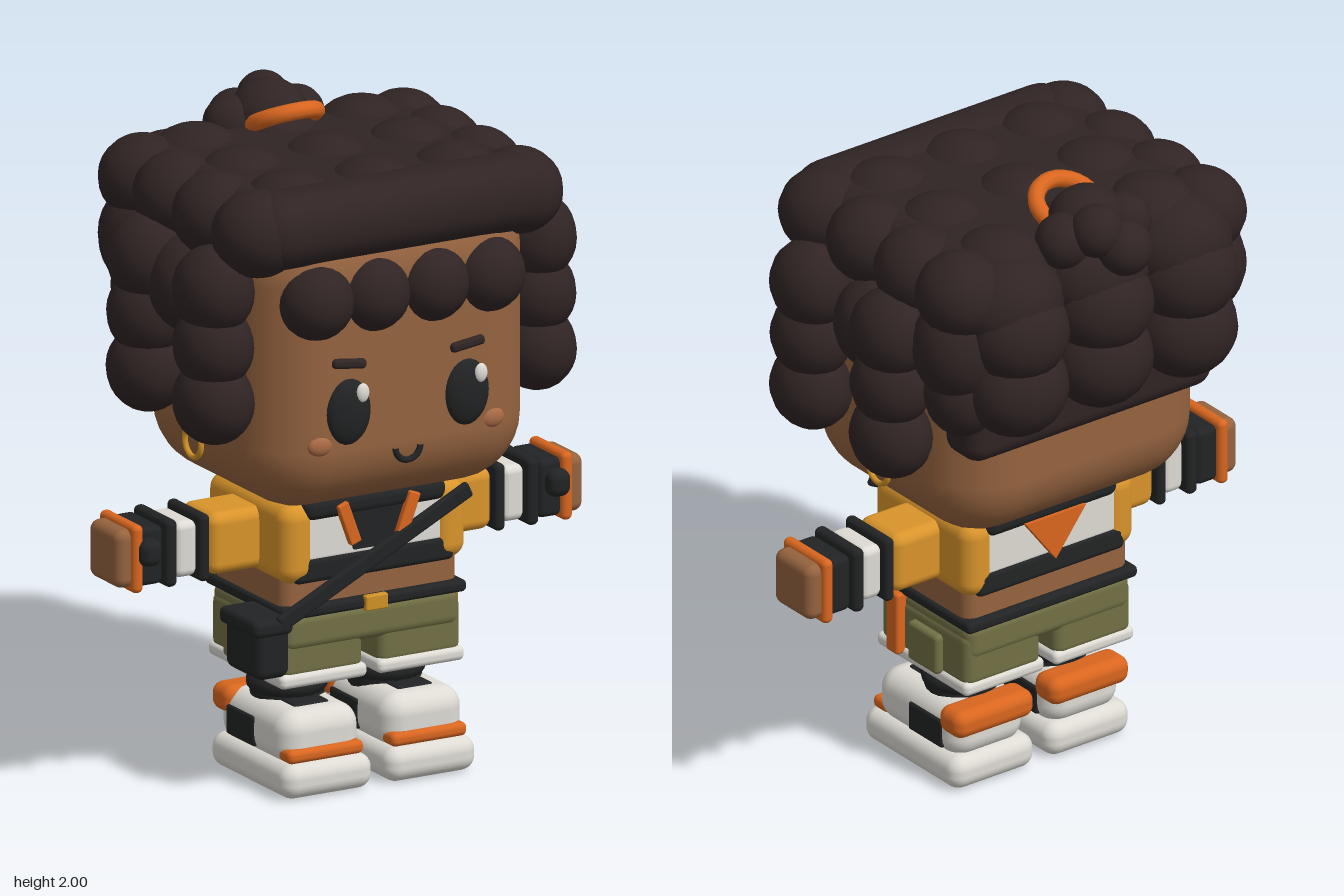
import * as THREE from 'three';
import { RoundedBoxGeometry } from 'three/addons/geometries/RoundedBoxGeometry.js';

const COLORS = {
  hair: 0x302424, skin: 0x95633f, blush: 0xa86a45, black: 0x222324, white: 0xdedbd4,
  yellow: 0xd9942b, orange: 0xd9661f, olive: 0x727045, gold: 0xcf9126,
};

export function createModel() {
  const model = new THREE.Group();
  model.name = 'character';
  const mats = {};
  for (const [name, color] of Object.entries(COLORS)) {
    mats[name] = new THREE.MeshStandardMaterial({ color });
    mats[name].name = name;
  }
  const group = (name) => {
    const g = new THREE.Group();
    g.name = name;
    model.add(g);
    return g;
  };
  const add = (parent, name, mat, geo, x, y, z) => {
    const m = new THREE.Mesh(geo, mats[mat]);
    m.name = name;
    m.position.set(x, y, z);
    parent.add(m);
    return m;
  };
  // Rounded box given by its ranges on x, y and z
  const box = (parent, name, mat, [x0, x1], [y0, y1], [z0, z1], r = 0.02) => {
    const w = Math.abs(x1 - x0), h = y1 - y0, d = z1 - z0;
    const radius = Math.min(r, w / 2.01, h / 2.01, d / 2.01);
    return add(parent, name, mat, new RoundedBoxGeometry(w, h, d, 4, radius),
      (x0 + x1) / 2, (y0 + y1) / 2, (z0 + z1) / 2);
  };
  const ball = (parent, name, mat, x, y, z, rx, ry = rx, rz = rx) => {
    const m = add(parent, name, mat, new THREE.SphereGeometry(1, 18, 14), x, y, z);
    m.scale.set(rx, ry, rz);
    return m;
  };
  const SIDES = [1, -1];

  // Head and face
  const head = group('head');
  box(head, 'skull', 'skin', [-0.47, 0.47], [0.9, 1.82], [-0.35, 0.48], 0.21);
  for (const s of SIDES) {
    ball(head, 'eye', 'black', s * 0.2, 1.225, 0.475, 0.075, 0.102, 0.033);
    ball(head, 'eyeHighlight', 'white', s * 0.2 + 0.036, 1.283, 0.5, 0.021, 0.029, 0.012);
    const brow = box(head, 'eyebrow', 'hair', [s * 0.2 - 0.057, s * 0.2 + 0.057], [1.358, 1.388], [0.465, 0.495], 0.012);
    brow.rotation.z = s * 0.13;
    ball(head, 'cheek', 'blush', s * 0.29, 1.13, 0.468, 0.042, 0.031, 0.02);
    ball(head, 'ear', 'skin', s * 0.465, 1.2, 0.05, 0.035, 0.09, 0.06);
    const ring = add(head, 'earring', 'gold', new THREE.TorusGeometry(0.047, 0.009, 8, 24), s * 0.477, 1.062, 0.05);
    ring.rotation.y = Math.PI / 2;
  }
  const mouth = add(head, 'mouth', 'black', new THREE.TorusGeometry(0.042, 0.01, 8, 16, Math.PI), 0, 1.09, 0.48);
  mouth.rotation.z = Math.PI;

  // Hair: cap, back panel, front roll and clusters of curls
  const hair = group('hair');
  const curl = (x, y, z, rx, ry, rz) => ball(hair, 'curl', 'hair', x, y, z, rx, ry, rz);
  box(hair, 'hairCap', 'hair', [-0.49, 0.49], [1.66, 1.88], [-0.38, 0.46], 0.1);
  box(hair, 'hairBack', 'hair', [-0.45, 0.45], [1.22, 1.8], [-0.375, -0.2], 0.06);
  box(hair, 'frontRoll', 'hair', [-0.5, 0.5], [1.67, 1.9], [0.27, 0.51], 0.11);
  for (const x of [-0.29, -0.1, 0.1, 0.29]) curl(x, 1.565, 0.44, 0.115);
  for (const x of [-0.28, 0, 0.28])
    for (const z of [-0.27, 0, 0.27]) curl(x, 1.8, z, 0.15, 0.12, 0.15);
  for (const x of [-0.31, 0, 0.31]) {
    curl(x, 1.73, -0.36, 0.17, 0.15, 0.15);
    curl(x, 1.65, -0.4, 0.16, 0.15, 0.15);
    curl(x, 1.47, -0.4, 0.16, 0.15, 0.145);
  }
  for (const s of SIDES) {
    for (const z of [0.36, 0.13, -0.1, -0.3]) curl(s * 0.44, 1.775, z, 0.135, 0.13, 0.14);
    for (const z of [0.285, -0.1]) {
      curl(s * 0.545, 1.6, z, 0.118, 0.135, 0.135);
      curl(s * 0.545, 1.43, z, 0.118, 0.13, 0.13);
      curl(s * 0.545, 1.26, z, 0.118, 0.13, 0.135);
    }
    curl(s * 0.49, 1.55, 0.05, 0.12, 0.145, 0.13);
    curl(s * 0.45, 1.6, -0.29, 0.13, 0.16, 0.14);
    curl(s * 0.43, 1.44, -0.29, 0.11, 0.13, 0.12);
  }

  // Bun with its hair tie
  const bun = group('bun');
  const bunCurls = [[0, 1.88, -0.33, 0.12], [0.11, 1.87, -0.36, 0.085], [-0.11, 1.87, -0.36, 0.085],
    [0.04, 1.91, -0.43, 0.08], [-0.03, 1.85, -0.47, 0.085]];
  for (const [x, y, z, r] of bunCurls) ball(bun, 'bunCurl', 'hair', x, y, z, r);
  const tie = add(bun, 'hairTie', 'orange', new THREE.TorusGeometry(0.095, 0.026, 10, 28), 0, 1.905, -0.235);
  tie.rotation.x = 1.1;

  // Torso: belly, striped top, open jacket and collar
  const torso = group('torso');
  box(torso, 'belly', 'skin', [-0.3, 0.3], [0.53, 0.7], [-0.145, 0.265], 0.04);
  box(torso, 'topHem', 'black', [-0.27, 0.27], [0.65, 0.73], [-0.165, 0.295], 0.02);
  box(torso, 'top', 'white', [-0.25, 0.25], [0.71, 0.87], [-0.16, 0.29], 0.02);
  box(torso, 'collar', 'black', [-0.24, 0.24], [0.84, 0.91], [-0.175, 0.305], 0.03);
  const bib = new THREE.Shape([[-0.11, 0.87], [-0.075, 0.735], [0.075, 0.735], [0.11, 0.87]].map(p => new THREE.Vector2(...p)));
  add(torso, 'neckPanel', 'black', new THREE.ExtrudeGeometry(bib, { depth: 0.009, bevelEnabled: false }), 0, 0, 0.289);
  const tri = new THREE.Shape([[-0.11, 0.855], [0, 0.71], [0.11, 0.855]].map(p => new THREE.Vector2(...p)));
  add(torso, 'backTriangle', 'orange', new THREE.ExtrudeGeometry(tri, { depth: 0.022, bevelEnabled: false }), 0, 0, -0.182);
  for (const s of SIDES) {
    box(torso, 'jacketSide', 'yellow', [s * 0.2, s * 0.315], [0.65, 0.895], [-0.165, 0.3], 0.05);
    const cord = box(torso, 'drawstring', 'orange', [s * 0.1 - 0.019, s * 0.1 + 0.019], [0.755, 0.89], [0.293, 0.318], 0.006);
    cord.rotation.z = -s * 0.35;
  }

  // Arms, reaching out along x: sleeve, cuffs, glove and hand
  for (const s of SIDES) {
    const arm = group(s > 0 ? 'leftArm' : 'rightArm');
    const part = (name, mat, x0, x1, half, r) => box(arm, name, mat, [s * x0, s * x1],
      [0.768 - half, 0.768 + half], [0.062 - half, 0.062 + half], r);
    part('sleeve', 'yellow', 0.27, 0.48, 0.095, 0.035);
    part('forearm', 'black', 0.44, 0.66, 0.07, 0.02);
    part('innerCuff', 'black', 0.482, 0.518, 0.103, 0.017);
    part('whiteCuff', 'white', 0.515, 0.592, 0.086, 0.025);
    part('outerCuff', 'black', 0.592, 0.632, 0.103, 0.018);
    part('glove', 'black', 0.635, 0.715, 0.09, 0.02);
    part('wristBand', 'orange', 0.708, 0.745, 0.104, 0.017);
    part('hand', 'skin', 0.72, 0.792, 0.089, 0.03);
    box(arm, 'thumb', 'black', [s * 0.655, s * 0.728], [0.745, 0.828], [0.11, 0.195], 0.03);
  }

  // Shorts, belt and pockets
  const shorts = group('shorts');
  box(shorts, 'hips', 'olive', [-0.3, 0.3], [0.44, 0.56], [-0.155, 0.28], 0.035);
  box(shorts, 'belt', 'black', [-0.312, 0.312], [0.545, 0.582], [-0.17, 0.292], 0.014);
  box(shorts, 'buckle', 'gold', [-0.038, 0.038], [0.54, 0.587], [0.28, 0.304], 0.006);
  for (const s of SIDES) {
    box(shorts, 'shortsLeg', 'olive', [s * 0.025, s * 0.305], [0.355, 0.53], [-0.15, 0.272], 0.03);
    box(shorts, 'hem', 'white', [s * 0.017, s * 0.312], [0.332, 0.376], [-0.155, 0.282], 0.018);
    box(shorts, 'pocket', 'olive', [s * 0.29, s * 0.33], [0.363, 0.49], [-0.035, 0.108], 0.014);
  }
  box(shorts, 'sideStrap', 'orange', [0.295, 0.335], [0.355, 0.555], [0.148, 0.204], 0.01);

  // Legs and shoes
  for (const s of SIDES) {
    const leg = group(s > 0 ? 'leftLeg' : 'rightLeg');
    const x = s * 0.175;
    const span = (half) => [x - half, x + half];
    add(leg, 'sock', 'black', new THREE.CylinderGeometry(0.11, 0.11, 0.14, 24), s * 0.165, 0.29, 0.06);
    ball(leg, 'sockBulge', 'black', s * 0.165, 0.29, 0.06, 0.122, 0.055, 0.122);
    box(leg, 'sole', 'white', span(0.153), [0.005, 0.112], [-0.125, 0.335], 0.045);
    box(leg, 'upper', 'white', span(0.136), [0.09, 0.258], [-0.105, 0.295], 0.065);
    box(leg, 'toeStrip', 'orange', span(0.128), [0.11, 0.152], [0.24, 0.312], 0.018);
    box(leg, 'heelTab', 'orange', span(0.145), [0.175, 0.262], [-0.13, -0.02], 0.035);
    box(leg, 'sidePanel', 'black', span(0.141), [0.12, 0.212], [-0.04, 0.122], 0.01);
    box(leg, 'laces', 'black', span(0.06), [0.235, 0.264], [0.13, 0.225], 0.01);
  }

  // Shoulder bag and its strap
  const bag = group('shoulderBag');
  box(bag, 'pouch', 'black', [-0.41, -0.295], [0.38, 0.555], [0.11, 0.312], 0.03);
  box(bag, 'flap', 'black', [-0.424, -0.29], [0.515, 0.567], [0.1, 0.322], 0.02);
  const strap = add(bag, 'strap', 'black', new RoundedBoxGeometry(0.72, 0.05, 0.024, 3, 0.01), -0.015, 0.708, 0.311);
  strap.rotation.z = Math.atan2(0.31, 0.62);
  return model;
}
